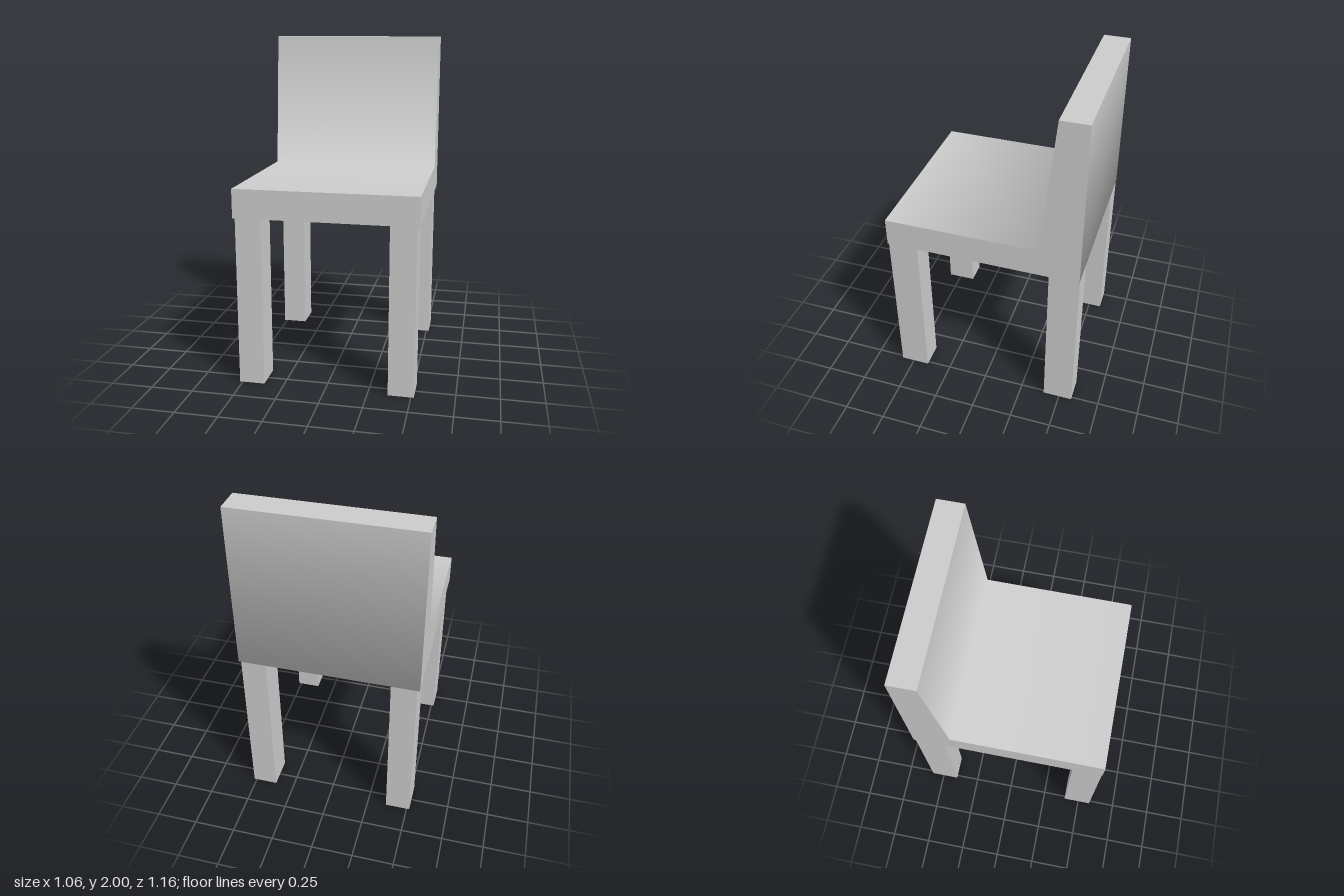
import * as THREE from 'three';

const HALF_WIDTH = 0.532;
const SEAT_BOTTOM = 1, SEAT_TOP = 1.17;
const FRONT = 0.58, BACK = -0.58;

// Side profile as (z, y), swept across the width
function createSeat(material) {
  const profile = [
    [BACK, SEAT_BOTTOM], [FRONT, SEAT_BOTTOM], [FRONT, SEAT_TOP],
    [-0.34, SEAT_TOP], [-0.42, 2], [BACK, 2],
  ];
  const shape = new THREE.Shape(profile.map(([z, y]) => new THREE.Vector2(z, y)));
  const geometry = new THREE.ExtrudeGeometry(shape, { depth: HALF_WIDTH * 2, bevelEnabled: false });
  geometry.translate(0, 0, -HALF_WIDTH).rotateY(-Math.PI / 2);

  // Soft shading across the inner corner and the lower rear edge; flat side caps
  const softEdges = [
    { z: -0.34, y: SEAT_TOP, normal: new THREE.Vector3(0, 0.74, 0.67).normalize() },
    { z: BACK, y: SEAT_BOTTOM, normal: new THREE.Vector3(0, -1, -1).normalize() },
  ];
  const { position, normal } = geometry.attributes;
  for (let i = 0; i < position.count; i++) {
    if (Math.abs(normal.getX(i)) > 0.5) continue;
    for (const edge of softEdges) {
      if (Math.hypot(position.getZ(i) - edge.z, position.getY(i) - edge.y) < 0.001) {
        normal.setXYZ(i, edge.normal.x, edge.normal.y, edge.normal.z);
      }
    }
  }
  const mesh = new THREE.Mesh(geometry, material);
  mesh.name = 'seatAndBackrest';
  return mesh;
}

export function createModel() {
  const model = new THREE.Group();
  model.name = 'chair';
  const material = new THREE.MeshStandardMaterial({ color: 0xcccccc });

  model.add(createSeat(material));

  // Four straight legs, slightly inset at the sides
  const legGeometry = new THREE.BoxGeometry(0.15, SEAT_BOTTOM, 0.18);
  for (const [depthName, z] of [['front', 0.49], ['back', -0.49]]) {
    for (const [sideName, x] of [['Left', 0.442], ['Right', -0.442]]) {
      const leg = new THREE.Mesh(legGeometry, material);
      leg.name = `${depthName}${sideName}Leg`;
      leg.position.set(x, SEAT_BOTTOM / 2, z);
      model.add(leg);
    }
  }
  return model;
}
